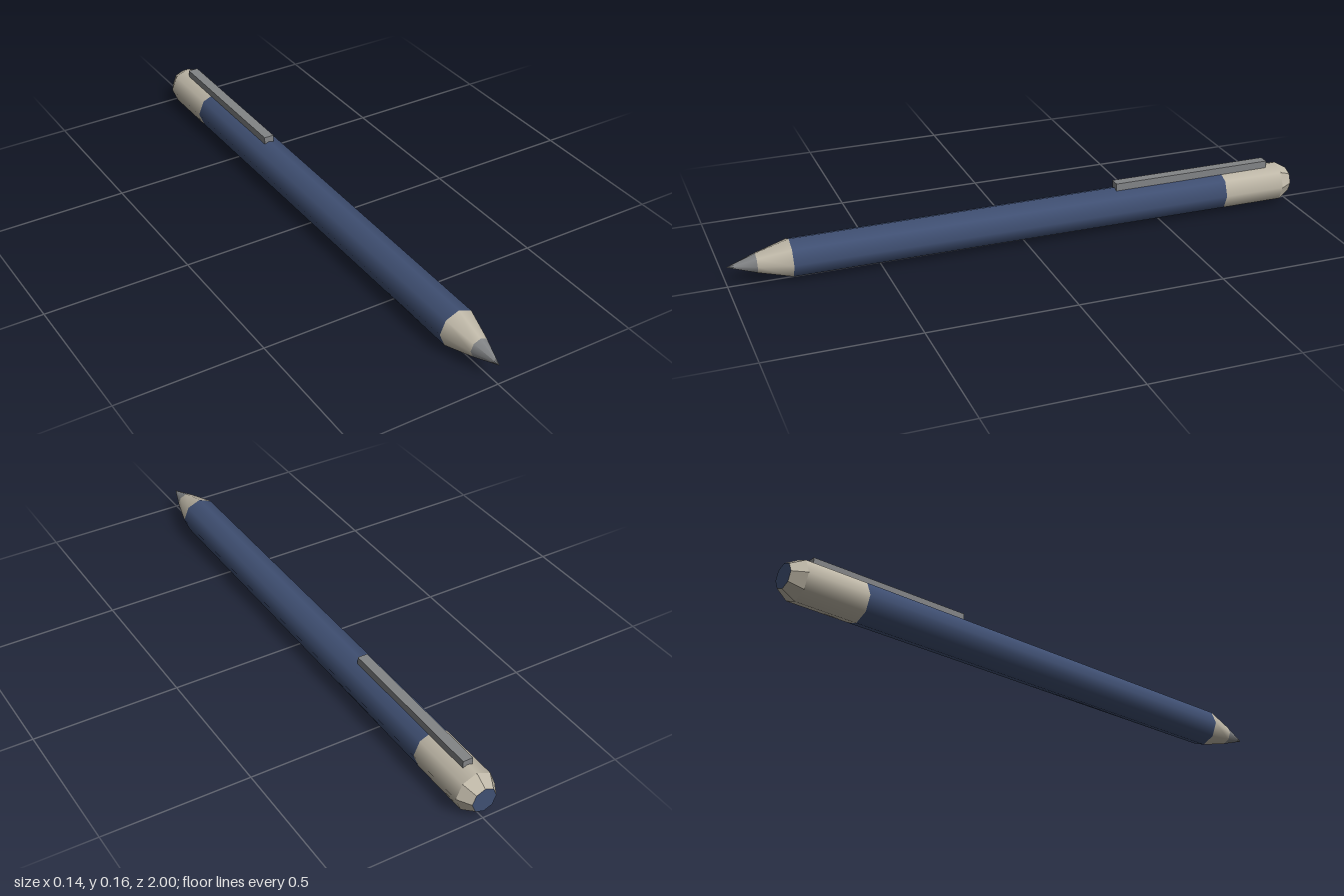
import * as THREE from 'three';

const SIDES = 8;
const AXIS_Y = 0.071;

export function createModel() {
  const model = new THREE.Group();
  model.name = 'pen';

  const material = (name, color) => {
    const m = new THREE.MeshStandardMaterial({ color });
    m.name = name;
    return m;
  };
  const blue = material('navy blue', 0x3f4f72);
  const cream = material('warm cream', 0xbfb8a8);
  const grey = material('steel grey', 0x828486);

  const add = (name, geometry, mat) => {
    const mesh = new THREE.Mesh(geometry, mat);
    mesh.name = name;
    model.add(mesh);
    return mesh;
  };

  // Open octagonal section along z, from the back end to the front end
  const section = (name, mat, zBack, rBack, zFront, rFront, faceted = false) => {
    let g = new THREE.CylinderGeometry(rFront, rBack, zFront - zBack, SIDES, 1, true);
    if (faceted) {
      g = g.toNonIndexed();
      g.computeVertexNormals();
    }
    g.rotateX(Math.PI / 2);
    g.translate(0, AXIS_Y, (zBack + zFront) / 2);
    return add(name, g, mat);
  };

  // Writing end
  section('tip', grey, 0.905, 0.034, 1, 0);
  section('noseCone', cream, 0.795, 0.066, 0.905, 0.034);

  // Slightly tapered barrel and rear cap
  section('barrel', blue, -0.735, 0.0697, 0.795, 0.066);
  section('cap', cream, -0.955, 0.07, -0.735, 0.0697);
  section('capBevel', cream, -1, 0.043, -0.955, 0.07, true);

  // Flat end of the cap, facing back
  const end = new THREE.CircleGeometry(0.043, SIDES);
  end.rotateY(Math.PI);
  end.translate(0, AXIS_Y, -1);
  add('endDisc', end, blue);

  // Pocket clip lying along the top
  const clip = add('clip', new THREE.BoxGeometry(0.035, 0.026, 0.575), grey);
  clip.position.set(0, 0.146, -0.6225);

  return model;
}
